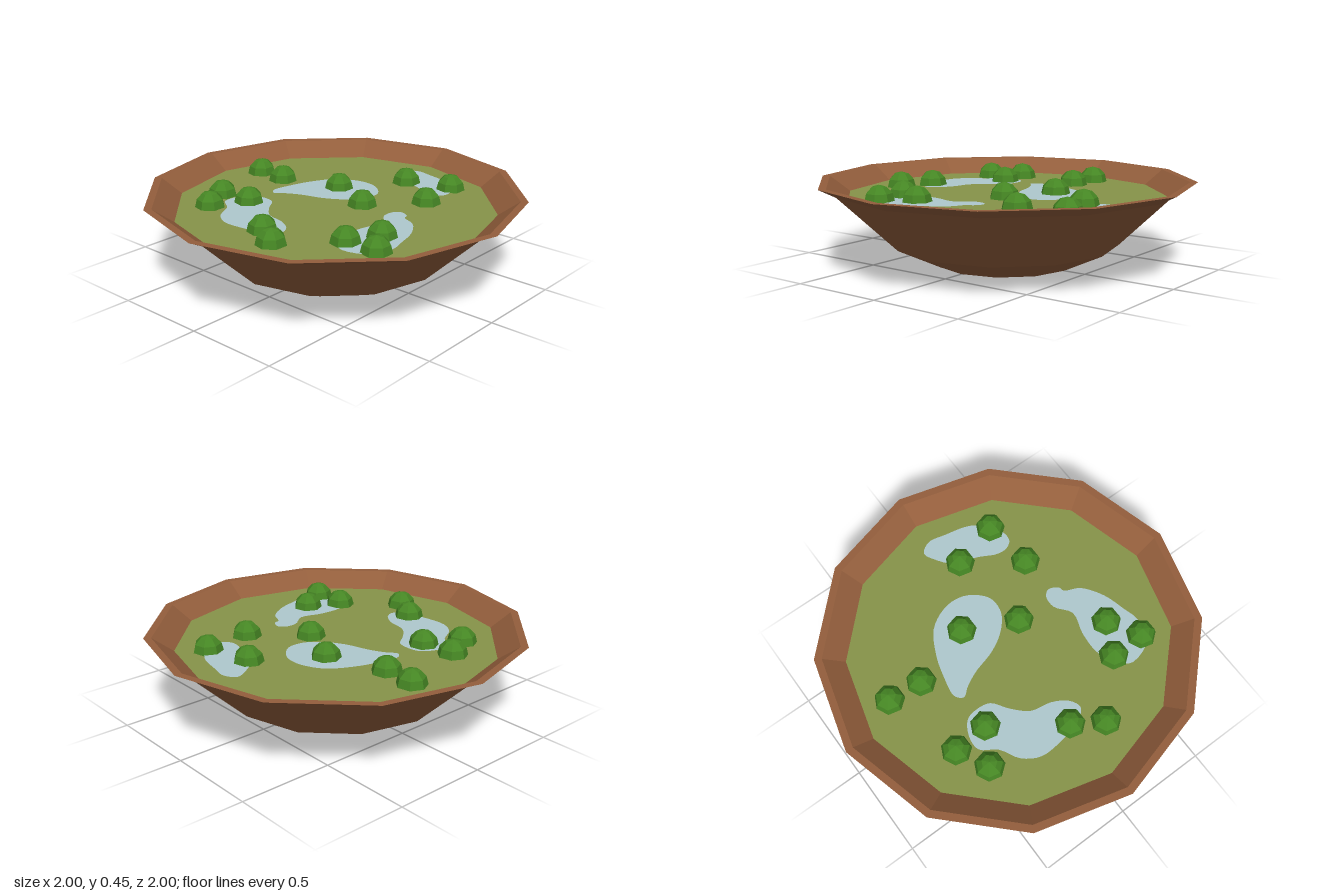
import * as THREE from 'three';

const SIDES = 12;
const SOUP_Y = 0.365;

function flat(geometry) {
  const g = geometry.index ? geometry.toNonIndexed() : geometry;
  g.computeVertexNormals();
  return g;
}

export function createModel() {
  const model = new THREE.Group();
  model.name = 'soupBowl';
  const material = (name, color) => {
    const m = new THREE.MeshStandardMaterial({ color });
    m.name = name;
    return m;
  };
  const wood = material('brown wood', 0x935e3c);
  const soupGreen = material('olive soup', 0x879449);
  const foamBlue = material('pale blue foam', 0xafc8ce);
  const leafGreen = material('leaf green', 0x468724);

  const add = (name, geometry, mat, parent = model) => {
    const mesh = new THREE.Mesh(geometry, mat);
    mesh.name = name;
    parent.add(mesh);
    return mesh;
  };

  // Faceted bowl: base, flared outside, rim and inner wall
  const profile = [
    [0, 0], [0.375, 0], [0.6, 0.105], [0.91, 0.4],
    [1, 0.445], [0.96, 0.445], [0.85, SOUP_Y],
  ].map(([r, y]) => new THREE.Vector2(r, y));
  add('bowl', flat(new THREE.LatheGeometry(profile, SIDES)), wood);

  // Soup surface
  const soup = new THREE.CircleGeometry(0.852, SIDES).rotateX(-Math.PI / 2);
  add('soup', soup, soupGreen).position.y = SOUP_Y;

  // Foam patches: smooth closed outlines given as x, z
  const outlines = [
    [[-0.06, -0.69], [0, -0.73], [0.09, -0.715], [0.25, -0.67], [0.35, -0.56], [0.355, -0.48],
      [0.31, -0.45], [0.25, -0.455], [0.16, -0.5], [0.04, -0.54], [-0.03, -0.62]],
    [[-0.13, -0.37], [-0.02, -0.355], [0.07, -0.27], [0.07, -0.17], [0, -0.08], [-0.1, -0.02],
      [-0.23, 0.02], [-0.31, 0.06], [-0.36, 0.095], [-0.395, 0.06], [-0.38, -0.05],
      [-0.34, -0.18], [-0.26, -0.31]],
    [[0.35, -0.125], [0.4, -0.1], [0.41, -0.07], [0.49, -0.03], [0.565, 0.08], [0.6, 0.2],
      [0.62, 0.28], [0.6, 0.4], [0.45, 0.46], [0.37, 0.4], [0.335, 0.3], [0.34, 0.18],
      [0.37, 0.06], [0.31, -0.03], [0.315, -0.1]],
    [[-0.34, 0.185], [-0.27, 0.2], [-0.21, 0.28], [-0.13, 0.355], [-0.02, 0.38], [0.06, 0.43],
      [0.085, 0.49], [0.03, 0.54], [-0.09, 0.57], [-0.23, 0.575], [-0.32, 0.52],
      [-0.38, 0.42], [-0.46, 0.36], [-0.46, 0.28], [-0.41, 0.2]],
  ];
  const foam = new THREE.Group();
  foam.name = 'foamPatches';
  model.add(foam);
  for (const outline of outlines) {
    const curve = new THREE.CatmullRomCurve3(
      outline.map(([x, z]) => new THREE.Vector3(x, -z, 0)), true);
    const shape = new THREE.Shape(
      curve.getPoints(60).slice(0, -1).map((p) => new THREE.Vector2(p.x, p.y)));
    const patch = new THREE.ShapeGeometry(shape).rotateX(-Math.PI / 2);
    add('foamPatch', patch, foamBlue, foam).position.y = SOUP_Y + 0.003;
  }

  // Floating green domes
  const dome = flat(new THREE.SphereGeometry(0.08, 7, 3, 0, Math.PI * 2, 0, Math.PI / 2));
  dome.scale(1, 1.06, 1);
  const spots = [
    [0.065, -0.53], [0.315, -0.6], [0.35, -0.33], [-0.155, -0.21], [0.12, -0.08],
    [-0.67, -0.12], [-0.485, -0.105], [-0.55, 0.295], [-0.36, 0.28], [-0.465, 0.46],
    [-0.01, 0.525], [0.145, 0.62], [0.48, 0.2], [0.395, 0.37], [0.58, 0.365],
  ];
  const herbs = new THREE.Group();
  herbs.name = 'greenDomes';
  model.add(herbs);
  for (const [x, z] of spots) add('greenDome', dome, leafGreen, herbs).position.set(x, SOUP_Y, z);

  return model;
}
